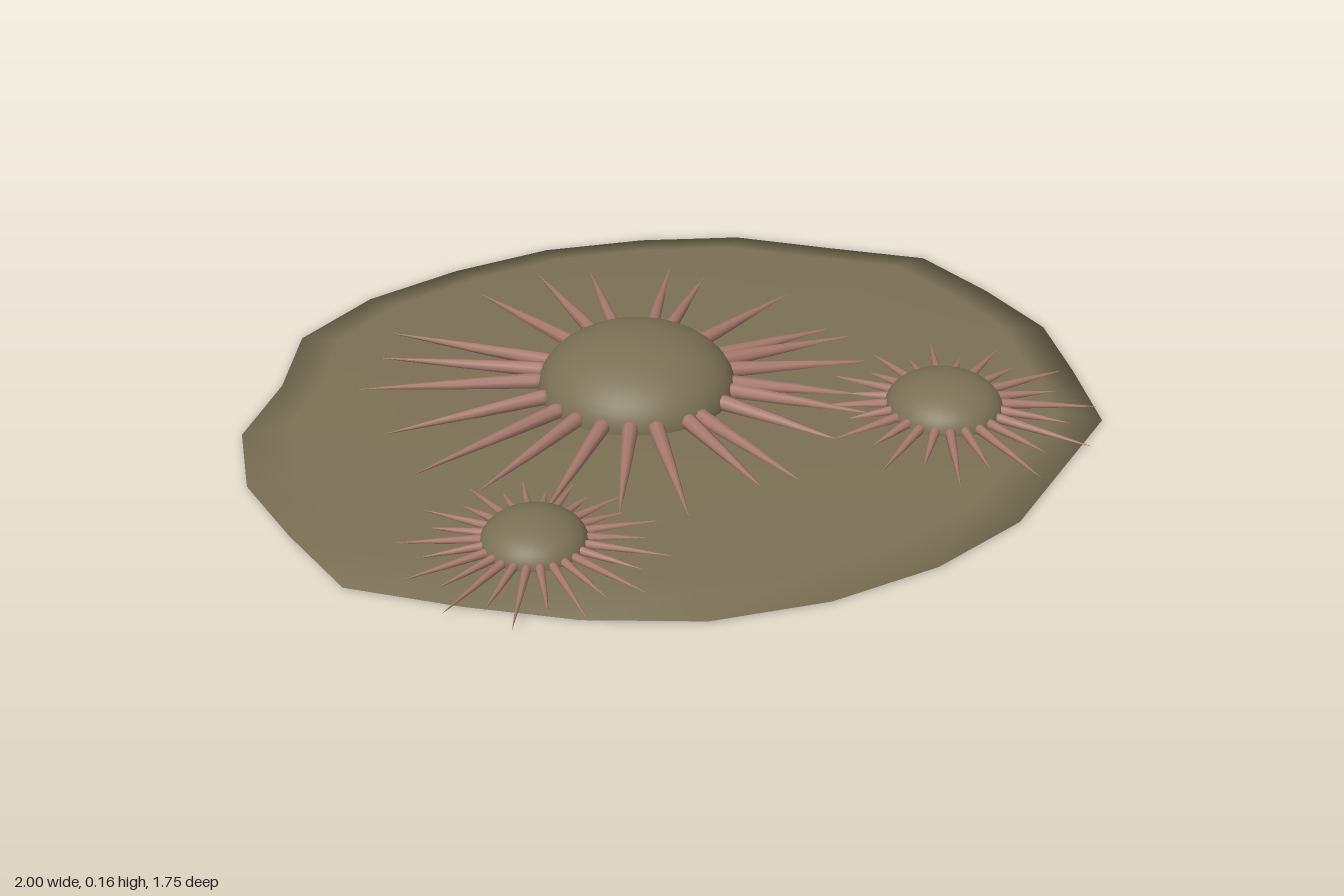
import * as THREE from 'three';

const skin = new THREE.MeshStandardMaterial({ color: 0x7c7156 });
skin.name = 'olive skin';
const spineMat = new THREE.MeshStandardMaterial({ color: 0xa87a6e });
spineMat.name = 'dusty pink spine';

// Radius factors that roughen the oval outline of the base
const ROUGHNESS = [
  1, 1, 1.045, 0.985, 1, 0.99, 1, 1, 1.02, 1.02, 0.95, 0.995,
  1, 0.995, 1.045, 0.99, 0.985, 1, 1, 1, 1, 0.98, 1.03, 0.985,
];

const evenAngles = (count, start) => Array.from({ length: count }, (_, i) => start + (i * 360) / count);

// Each blister: centre, radius, spine thickness, spine angles in degrees (0 = +x, 90 = +z),
// mean reach of the tips, long/short alternation, and a lean that lengthens one side
const BLISTERS = [
  {
    name: 'largeBlister', x: -0.06, z: -0.06, r: 0.232, base: 0.028, thick: 0.019,
    angles: [9, 26, 35, 50, 71, 80, 100, 115, 131, 148, 163, 181,
      201, 215, 226, 252, 268, 280, 299, 308, 330, 350, 356],
    reach: 0.605, alternate: 0.015, lean: 0.05, leanAngle: 240,
  },
  {
    name: 'leftBlister', x: 0.565, z: 0.29, r: 0.137, base: 0.022, thick: 0.012,
    angles: evenAngles(24, 277), reach: 0.3, alternate: -0.035, lean: 0.03, leanAngle: 60,
  },
  {
    name: 'rightBlister', x: -0.495, z: 0.467, r: 0.115, base: 0.02, thick: 0.01,
    angles: evenAngles(26, 269), reach: 0.265, alternate: -0.025, lean: 0.035, leanAngle: 110,
  },
];

// Closed thin base: stacked outline rings with a sharp but smoothly shaded rim
function makeBase() {
  const rings = [[0.9, 0], [1, 0.003], [0.89, 0.02], [0.5, 0.027]]; // [scale, y]
  const n = ROUGHNESS.length, pos = [], idx = [];
  for (const [s, y] of rings) {
    ROUGHNESS.forEach((f, i) => {
      const t = (i / n) * Math.PI * 2;
      pos.push(Math.cos(t) * f * s, y, -Math.sin(t) * 0.876 * f * s);
    });
  }
  const bottom = n * rings.length, top = bottom + 1, last = bottom - n;
  pos.push(0, 0, 0, 0, 0.03, 0);
  for (let i = 0; i < n; i++) {
    const j = (i + 1) % n;
    for (let k = 0; k < rings.length - 1; k++) {
      const a = k * n + i, b = k * n + j;
      idx.push(a, b, b + n, a, b + n, a + n);
    }
    idx.push(bottom, j, i, top, last + i, last + j);
  }
  const geo = new THREE.BufferGeometry();
  geo.setAttribute('position', new THREE.Float32BufferAttribute(pos, 3));
  geo.setIndex(idx);
  geo.computeVertexNormals();
  const mesh = new THREE.Mesh(geo, skin);
  mesh.name = 'base';
  return mesh;
}

// Tapered spine with a rounded root, pointing from one point to another
function makeSpine(from, to, radius) {
  const dir = to.clone().sub(from), len = dir.length();
  const profile = [[0, 0], [0.8, 0.015], [1, 0.06], [0.62, 0.5], [0, 1]]
    .map(([r, t]) => new THREE.Vector2(r * radius, t * len));
  const mesh = new THREE.Mesh(new THREE.LatheGeometry(profile, 8), spineMat);
  mesh.position.copy(from);
  mesh.quaternion.setFromUnitVectors(new THREE.Vector3(0, 1, 0), dir.normalize());
  mesh.name = 'spine';
  return mesh;
}

// Flattened dome ringed by spines that droop towards the base
function makeBlister({ name, x, z, r, base, thick, angles, reach, alternate, lean, leanAngle }) {
  const group = new THREE.Group();
  group.name = name;
  const dome = new THREE.Mesh(
    new THREE.SphereGeometry(r, 32, 14, 0, Math.PI * 2, 0, Math.PI / 2), skin);
  dome.scale.y = 0.59;
  dome.position.set(x, base, z);
  dome.name = 'dome';
  group.add(dome);
  angles.forEach((deg, i) => {
    const a = THREE.MathUtils.degToRad(deg);
    const tip = reach + (i % 2 ? -alternate : alternate)
      + lean * Math.cos(a - THREE.MathUtils.degToRad(leanAngle));
    const at = (d, y) => new THREE.Vector3(x + Math.cos(a) * d, y, z + Math.sin(a) * d);
    group.add(makeSpine(at(r * 0.9, base + thick * 0.9), at(tip, 0.024), thick));
  });
  return group;
}

export function createModel() {
  const model = new THREE.Group();
  model.name = 'spinyBlisterPatch';
  model.add(makeBase(), ...BLISTERS.map(makeBlister));
  return model;
}
